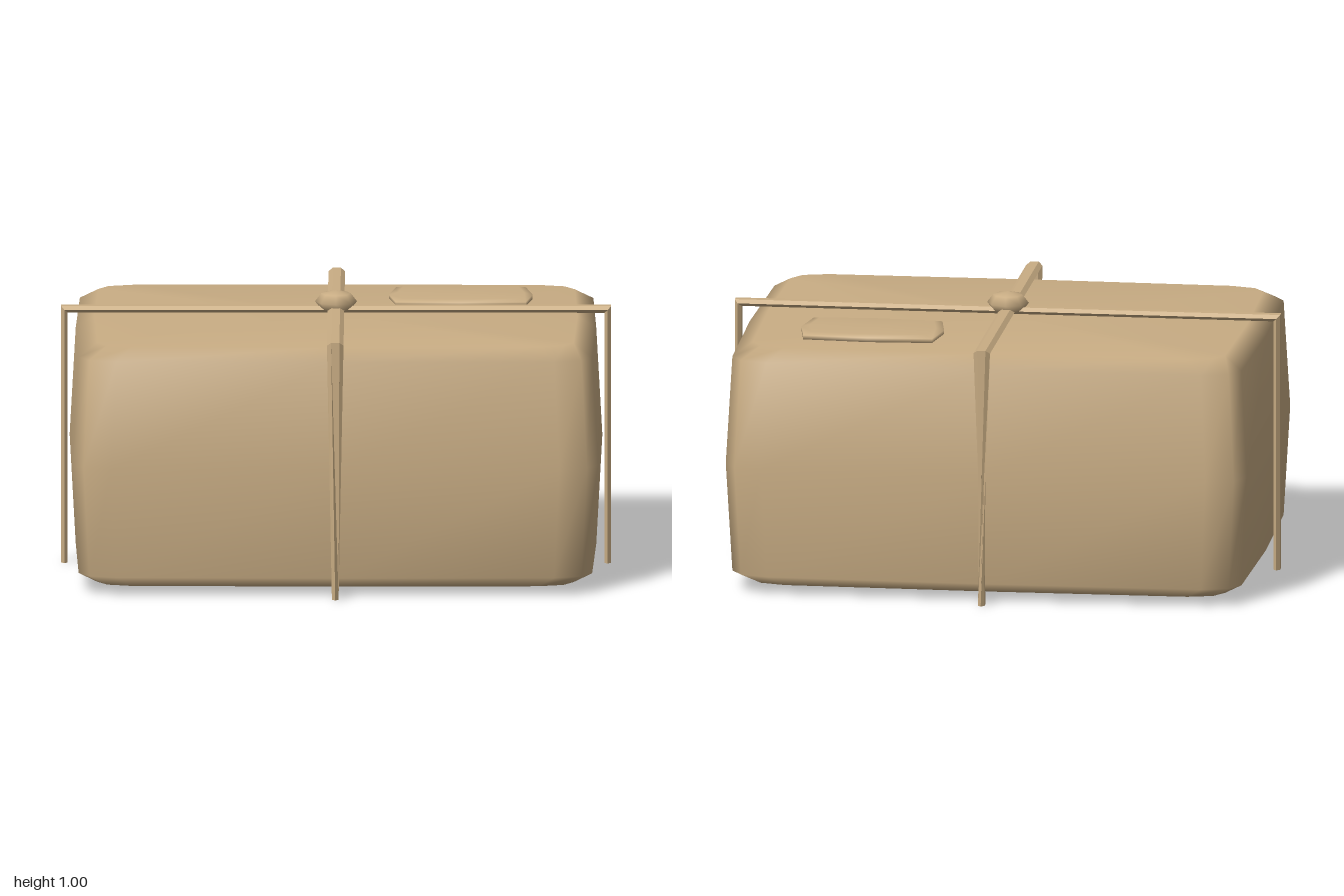
import * as THREE from 'three';

const V = (x, y, z) => new THREE.Vector3(x, y, z);

// Skin a list of equal-length rings and close both ends with a fan
function loft(rings, flat = false, dome = 0) {
  const n = rings[0].length, pts = rings.flat(), index = [];
  const centre = (ring) => ring.reduce((s, p) => s.add(p), V(0, 0, 0)).divideScalar(n);
  for (let j = 0; j < rings.length - 1; j++) {
    for (let i = 0; i < n; i++) {
      const a = j * n + i, b = j * n + (i + 1) % n;
      index.push(a, a + n, b, b, a + n, b + n);
    }
  }
  const bottom = pts.length, top = bottom + 1, last = (rings.length - 1) * n;
  const topCentre = centre(rings.at(-1));
  topCentre.y += dome;
  pts.push(centre(rings[0]), topCentre);
  for (let i = 0; i < n; i++) {
    const k = (i + 1) % n;
    index.push(bottom, i, k, top, last + k, last + i);
  }
  let geo = new THREE.BufferGeometry().setFromPoints(pts);
  geo.setIndex(index);
  if (flat) geo = geo.toNonIndexed();
  geo.computeVertexNormals();
  return geo;
}

// Mirror a quarter outline (from +x round to +z) into a full one
function mirrorPlan(quarter) {
  const half = [...quarter, ...quarter.slice(0, -1).reverse().map(([x, z]) => [-x, z])];
  return [...half, ...half.slice(1, -1).reverse().map(([x, z]) => [x, -z])];
}

// Stack an outline at several [height, inset] levels
function cushion(w, d, plan, levels, dome) {
  return loft(levels.map(([y, inset]) =>
    plan.map(([x, z]) => V(x * (w - inset) / w, y, z * (d - inset) / d))), false, dome);
}

// Flat hexagonal cord over the parcel; twisted legs turn a quarter at the foot
function strap(half, twisted) {
  const wide = 0.03, thin = 0.014, top = 0.932;
  const ring = (p, u, v) => Array.from({ length: 6 }, (_, i) => {
    const a = (i * Math.PI) / 3 + Math.PI / 2;
    return p.clone().addScaledVector(u, Math.cos(a) * thin).addScaledVector(v, Math.sin(a) * wide);
  });
  const z = V(0, 0, 1);
  const foot = (s) => {
    const inward = V(-s, 0, 0);
    return twisted ? ring(V(s * half, 0, 0), z, inward.negate()) : ring(V(s * half, 0, 0), inward, z);
  };
  return loft([
    foot(-1),
    ring(V(-half, top, 0), V(1, -1, 0), z),
    ring(V(half, top, 0), V(-1, -1, 0), z),
    foot(1),
  ], true);
}

export function createModel() {
  const group = new THREE.Group();
  group.name = 'parcel';
  const paper = new THREE.MeshStandardMaterial({ name: 'brown paper', color: 0xc9ad84 });
  const pale = new THREE.MeshStandardMaterial({ name: 'pale grey', color: 0xc8c8c4 });
  const add = (name, geo, mat = paper) => {
    const mesh = new THREE.Mesh(geo, mat);
    mesh.name = name;
    group.add(mesh);
    return mesh;
  };

  // Bulging wrapped box
  add('parcelBody', cushion(0.963, 0.705,
    mirrorPlan([[0.963, 0], [0.95, 0.6], [0.91, 0.665], [0.81, 0.695], [0, 0.705]]),
    [[0.025, 0.09], [0.068, 0.022], [0.47, 0], [0.862, 0.022], [0.905, 0.09]], 0.008));

  // Plate on the underside
  add('basePlate', cushion(0.59, 0.395,
    mirrorPlan([[0.59, 0], [0.588, 0.33], [0.568, 0.375], [0.52, 0.393], [0, 0.395]]),
    [[0.004, 0.02], [0.012, 0], [0.028, 0]], 0), pale);

  // Slightly padded label on the top
  const label = add('label', cushion(0.26, 0.16,
    mirrorPlan([[0.26, 0], [0.235, 0.145], [0, 0.16]]),
    [[0.905, 0], [0.922, 0], [0.93, 0.03]], 0.003));
  label.position.set(0.45, 0, -0.325);

  // Crossed straps
  add('sideStrap', strap(0.982, false));
  add('frontStrap', strap(0.725, true)).rotation.y = -Math.PI / 2;

  // Knot where the straps cross
  const knot = add('knot', new THREE.SphereGeometry(0.076, 8, 4));
  knot.scale.y = 0.54;
  knot.position.y = 0.959;
  return group;
}
